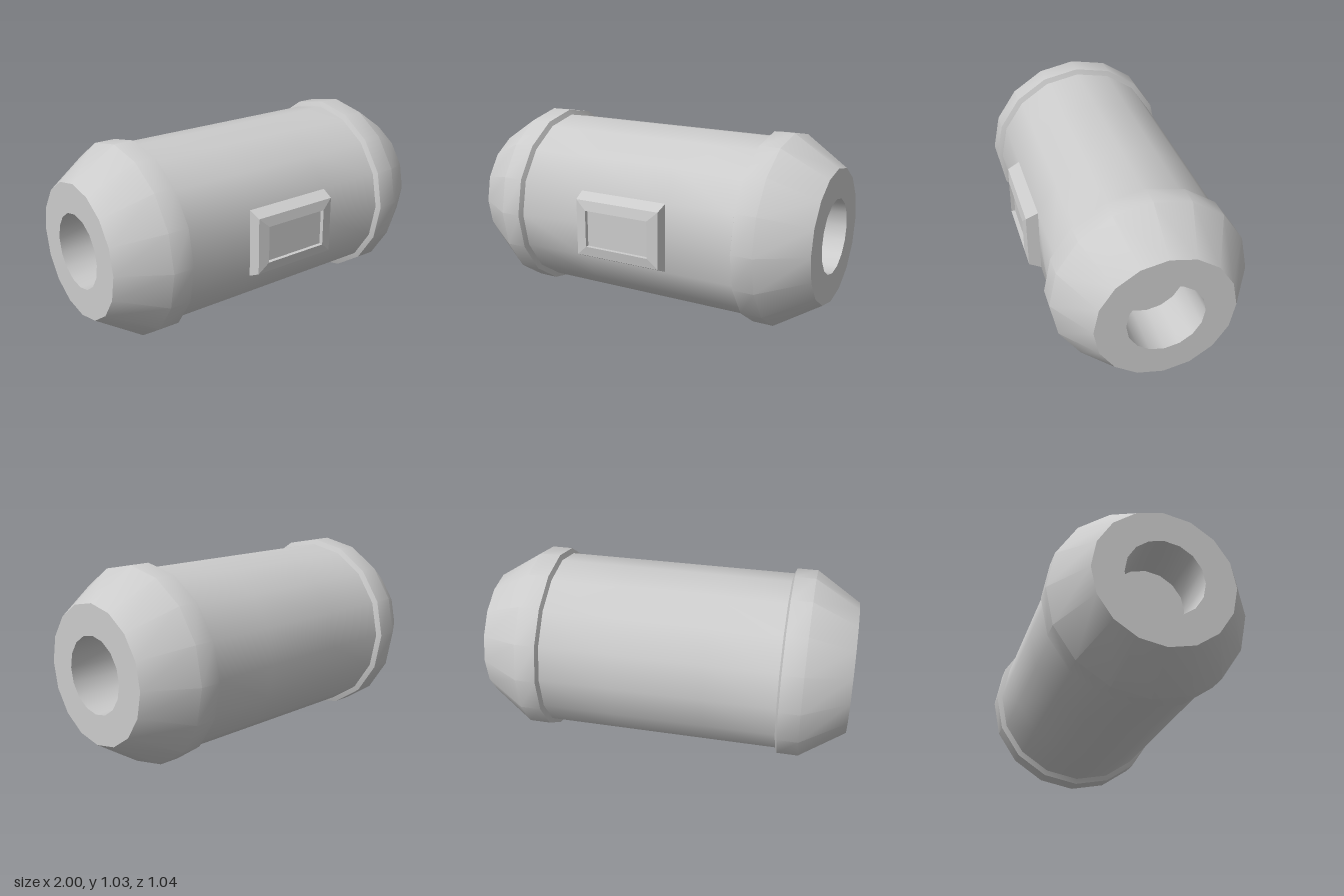
import * as THREE from 'three';
import { toCreasedNormals } from 'three/addons/utils/BufferGeometryUtils.js';

const SIDES = 16;
const CREASE = 0.63;

export function createModel() {
  const model = new THREE.Group();
  model.name = 'canister';
  const material = new THREE.MeshStandardMaterial({ color: 0xcccccc });
  const add = (name, geometry) => {
    const mesh = new THREE.Mesh(geometry, material);
    mesh.name = name;
    mesh.position.set(0, 0.515, -0.005);
    model.add(mesh);
  };

  // Barrel: open tube along x, flattened at the front where the panel sits
  const barrel = new THREE.CylinderGeometry(0.487, 0.487, 1.27, SIDES, 3, true);
  barrel.rotateZ(-Math.PI / 2);
  const p = barrel.attributes.position;
  for (let i = 0; i < p.count; i++) {
    if (Math.abs(p.getX(i)) > 0.5) continue;
    p.setX(i, Math.sign(p.getX(i)) * 0.25);
    if (p.getZ(i) > 0.48) p.setZ(i, 0.45);
  }
  add('barrel', toCreasedNormals(barrel, CREASE));

  // End caps: step, collar, taper, flat face and blind socket
  const profile = [
    [0.487, 0.635], [0.515, 0.647], [0.515, 0.76], [0.36, 1],
    [0.2, 1], [0.2, 0.72], [0, 0.72],
  ].map(([r, x]) => new THREE.Vector2(r, x));
  for (const [name, side] of [['leftCap', 1], ['rightCap', -1]]) {
    const cap = new THREE.LatheGeometry(profile, SIDES);
    cap.rotateZ(-side * Math.PI / 2);
    add(name, toCreasedNormals(cap, CREASE));
  }

  // Front panel: stacked rectangles [half width, half height, z] with a recessed window
  const rings = [
    [0.255, 0.186, 0.445], [0.247, 0.153, 0.515], [0.187, 0.1, 0.525], [0.187, 0.1, 0.503],
  ];
  const corners = [[-1, -1], [1, -1], [1, 1], [-1, 1]];
  const points = rings.flatMap(([w, h, z]) => corners.flatMap(([x, y]) => [x * w, y * h, z]));
  const faces = [];
  for (let r = 0; r < rings.length - 1; r++) {
    for (let c = 0; c < 4; c++) {
      const a = r * 4 + c, b = r * 4 + (c + 1) % 4;
      faces.push(a, b, b + 4, a, b + 4, a + 4);
    }
  }
  const last = (rings.length - 1) * 4;
  faces.push(last, last + 1, last + 2, last, last + 2, last + 3);
  const panel = new THREE.BufferGeometry();
  panel.setAttribute('position', new THREE.Float32BufferAttribute(points, 3));
  panel.setIndex(faces);
  const flatPanel = panel.toNonIndexed();
  flatPanel.computeVertexNormals();
  add('frontPanel', flatPanel);

  return model;
}
